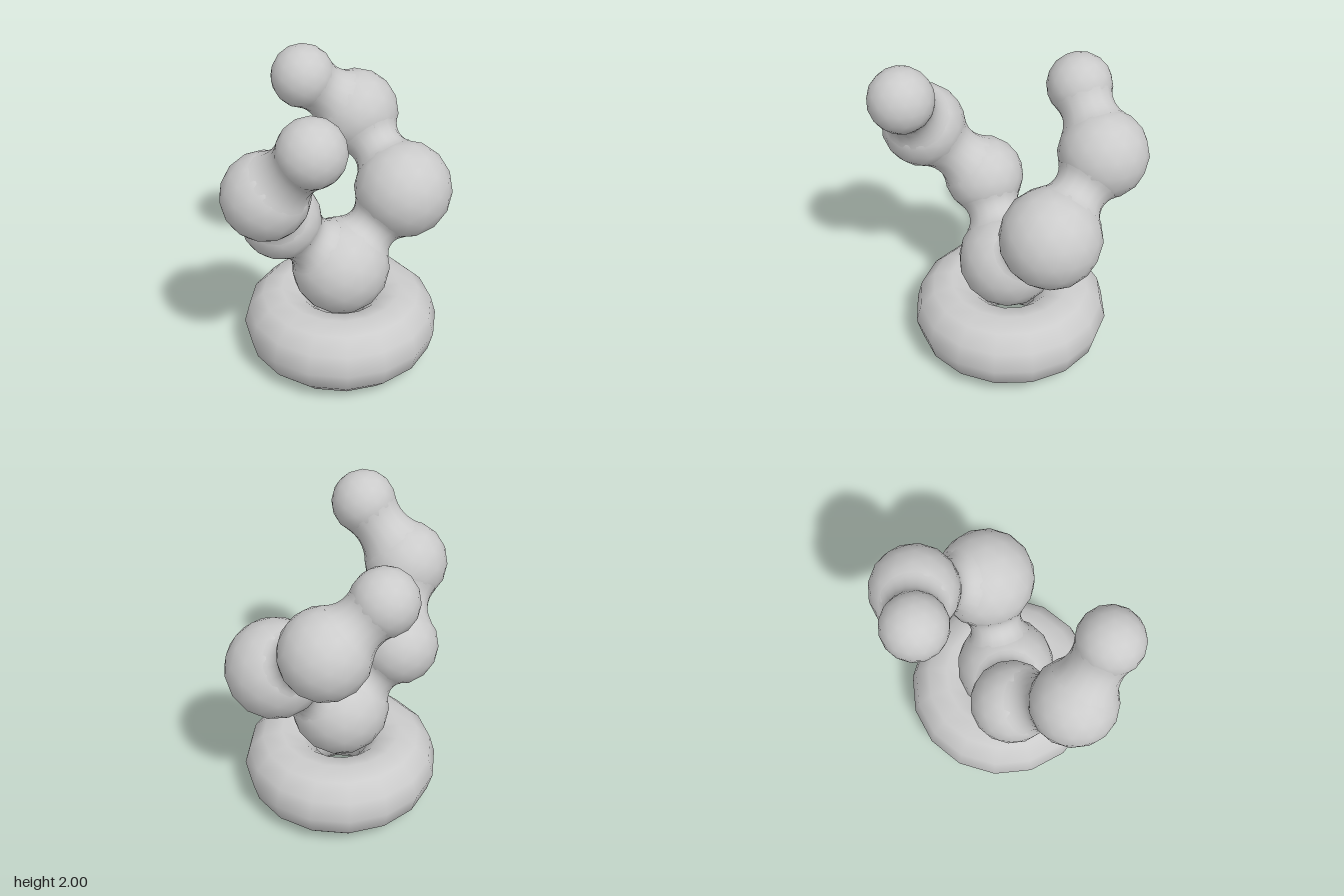
import * as THREE from 'three';

const material = new THREE.MeshStandardMaterial({ color: 0xcccccc });

function addMesh(group, name, geometry) {
  const mesh = new THREE.Mesh(geometry, material);
  mesh.name = name;
  group.add(mesh);
  return mesh;
}

function addBall(group, name, { p, r }) {
  addMesh(group, name, new THREE.IcosahedronGeometry(r * 1.01, 2)).position.set(...p);
}

// Waisted neck whose hollow side is tangent to the balls at both ends
function addNeck(group, name, a, b, waist) {
  const start = new THREE.Vector3(...a.p);
  const axis = new THREE.Vector3(...b.p).sub(start);
  const d = axis.length();
  const fillet = (f) => {
    const t = (d * d + (a.r + f) ** 2 - (b.r + f) ** 2) / (2 * d);
    return { t, h: Math.sqrt(Math.max(0, (a.r + f) ** 2 - t * t)) };
  };
  // Find the fillet radius that gives the wanted waist
  let lo = 0.005, hi = 3;
  for (let i = 0; i < 40; i++) {
    const mid = (lo + hi) / 2;
    if (fillet(mid).h - mid < waist) lo = mid;
    else hi = mid;
  }
  const f = lo, { t, h } = fillet(f);
  const from = Math.atan2(t, h), to = -Math.atan2(d - t, h);
  const profile = [];
  for (let i = 0; i <= 8; i++) {
    const angle = from + ((to - from) * i) / 8;
    profile.push(new THREE.Vector2(h - f * Math.cos(angle), t - f * Math.sin(angle)));
  }
  const neck = addMesh(group, name, new THREE.LatheGeometry(profile, 16));
  neck.position.copy(start);
  neck.quaternion.setFromUnitVectors(new THREE.Vector3(0, 1, 0), axis.normalize());
}

export function createModel() {
  const model = new THREE.Group();

  // Ring-shaped base
  const base = addMesh(model, 'baseRing', new THREE.TorusGeometry(0.38, 0.245, 12, 16));
  base.rotation.x = Math.PI / 2;
  base.position.y = 0.245;

  // Central body resting in the ring
  const body = { p: [0, 0.665, 0.015], r: 0.31 };
  addBall(model, 'body', body);

  // Two twisting branches of joined balls
  const branches = {
    rightBranch: [
      { p: [-0.37, 1.07, 0.085], r: 0.25 },
      { p: [-0.455, 1.45, 0.445], r: 0.26 },
      { p: [-0.2, 1.8, 0.605], r: 0.2 },
    ],
    leftBranch: [
      { p: [0.405, 1.11, -0.15], r: 0.308 },
      { p: [0.135, 1.47, -0.535], r: 0.273 },
      { p: [-0.2, 1.755, -0.475], r: 0.2 },
    ],
  };
  for (const [name, balls] of Object.entries(branches)) {
    const branch = new THREE.Group();
    branch.name = name;
    model.add(branch);
    balls.forEach((ball, i) => {
      addBall(branch, `ball${i + 1}`, ball);
      addNeck(branch, `neck${i + 1}`, i ? balls[i - 1] : body, ball, 0.165);
    });
  }
  return model;
}
